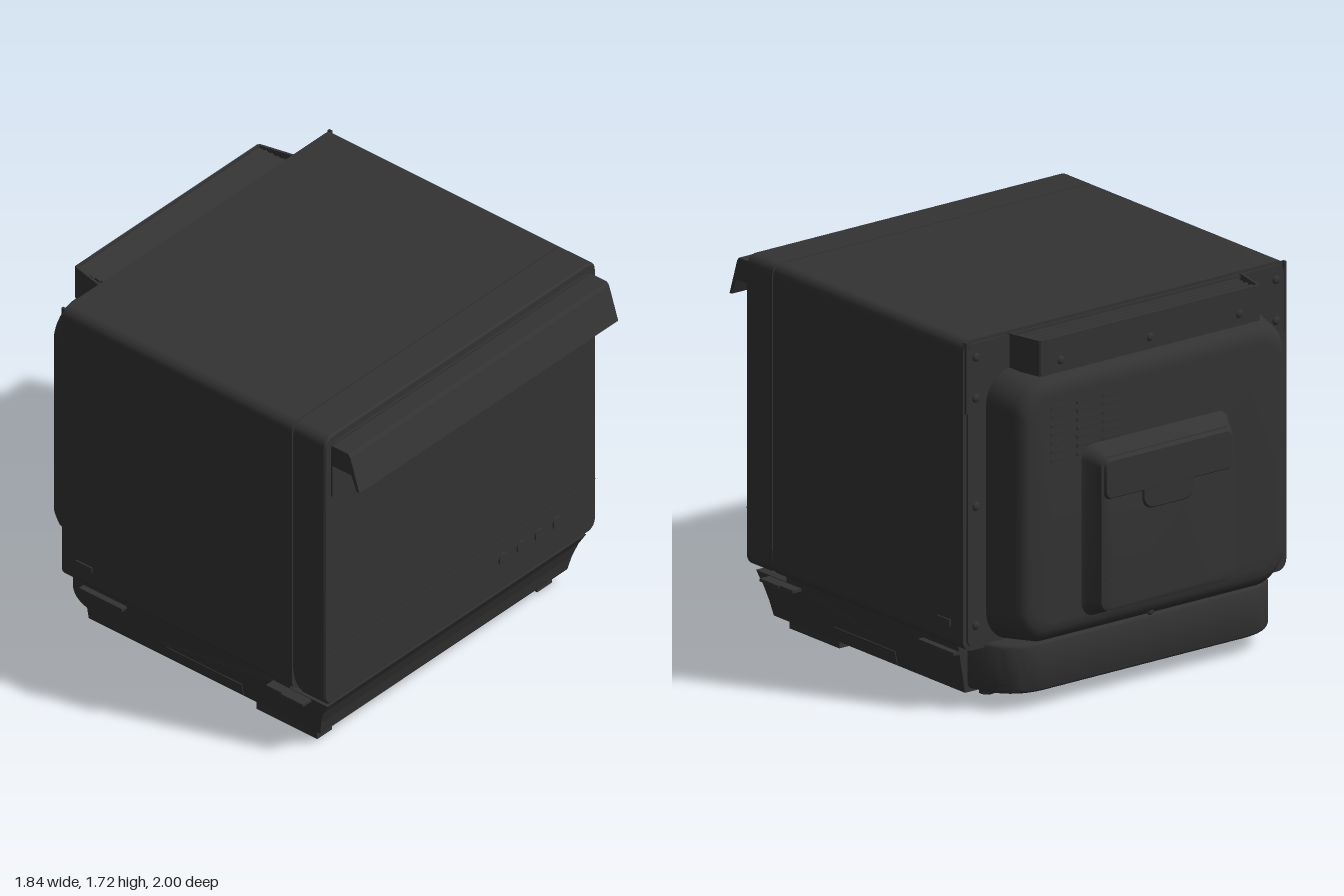
import * as THREE from 'three';
import { toCreasedNormals } from 'three/addons/utils/BufferGeometryUtils.js';

const dark = new THREE.MeshStandardMaterial({ color: 0x333333 });

// Points of a rounded rectangle, counter-clockwise seen from +z
function ring(hw, y0, y1, r, z) {
  const pts = [], n = 8;
  const corners = [[hw - r, y0 + r, -0.5], [hw - r, y1 - r, 0], [-hw + r, y1 - r, 0.5], [-hw + r, y0 + r, 1]];
  for (const [cx, cy, a] of corners)
    for (let i = 0; i <= n; i++) {
      const t = (a + 0.5 * i / n) * Math.PI;
      pts.push([cx + r * Math.cos(t), cy + r * Math.sin(t), z]);
    }
  return pts;
}

// Skin through rounded rectangles [z, halfWidth, yLow, yHigh, radius], from back to front
function loft(sections) {
  const rings = sections.map(([z, hw, y0, y1, r]) => ring(hw, y0, y1, r, z));
  const n = rings[0].length, pos = rings.flat(2), idx = [];
  for (let i = 0; i < rings.length - 1; i++)
    for (let j = 0; j < n; j++) {
      const a = i * n + j, b = i * n + (j + 1) % n;
      idx.push(a, b, b + n, a, b + n, a + n);
    }
  const last = (rings.length - 1) * n;
  for (let j = 1; j < n - 1; j++) {
    idx.push(0, j + 1, j);
    idx.push(last, last + j, last + j + 1);
  }
  const g = new THREE.BufferGeometry();
  g.setAttribute('position', new THREE.Float32BufferAttribute(pos, 3));
  g.setIndex(idx);
  return toCreasedNormals(g, 0.6);
}

// Side profile given as [z, y], extruded across x and centred
function across(profile, width) {
  const s = new THREE.Shape(profile.map(([z, y]) => new THREE.Vector2(-z, y)));
  const g = new THREE.ExtrudeGeometry(s, { depth: width, bevelEnabled: false });
  g.translate(0, 0, -width / 2);
  return g.rotateY(Math.PI / 2);
}

export function createModel() {
  const model = new THREE.Group();
  const add = (name, geo, x = 0, y = 0, z = 0) => {
    const m = new THREE.Mesh(geo, dark);
    m.name = name;
    m.position.set(x, y, z);
    model.add(m);
    return m;
  };
  const box = (name, w, h, d, x, y, z) => add(name, new THREE.BoxGeometry(w, h, d), x, y, z);

  // Cabinet and door, separated by a narrow gap
  add('cabinet', loft([[-0.685, 0.905, 0.285, 1.72, 0.05], [0.645, 0.905, 0.285, 1.72, 0.05]]));
  add('door', loft([
    [0.652, 0.905, 0.36, 1.72, 0.05], [0.66, 0.905, 0.325, 1.72, 0.05], [0.675, 0.905, 0.3, 1.72, 0.05],
    [0.70, 0.905, 0.285, 1.72, 0.05], [0.828, 0.905, 0.285, 1.72, 0.05], [0.836, 0.898, 0.292, 1.713, 0.045],
  ]));
  add('handlePlate', loft([[0.83, 0.865, 1.38, 1.68, 0.035], [0.844, 0.865, 1.38, 1.68, 0.035]]));
  add('handle', across([
    [0.84, 1.67], [0.935, 1.67], [0.947, 1.655], [1.0, 1.49], [0.985, 1.49], [0.953, 1.565], [0.84, 1.565],
  ], 1.73));
  box('panelSeam', 1.8, 0.005, 0.004, 0, 0.55, 0.836);

  // Control buttons
  for (let i = 0; i < 4; i++) {
    const g = new THREE.CylinderGeometry(0.03, 0.031, 0.01, 32).rotateX(Math.PI / 2);
    add('button', g, 0.285 + 0.12 * i, 0.452, 0.838);
  }

  // Base tray, narrowing towards the floor
  const base = across([
    [0.74, 0.06], [0.755, 0.13], [0.78, 0.2], [0.815, 0.26], [0.6, 0.26], [0.6, 0.29],
    [-0.6, 0.29], [-0.6, 0.06],
  ], 2);
  const p = base.attributes.position;
  for (let i = 0; i < p.count; i++)
    p.setX(i, p.getX(i) * (0.825 + 0.04 * Math.min(1, (p.getY(i) - 0.06) / 0.2)));
  base.computeVertexNormals();
  add('baseTray', base);
  for (const s of [-1, 1]) {
    box('frontFlange', 0.14, 0.014, 0.13, s * 0.85, 0.25, 0.655);
    box('frontFlangeTab', 0.1, 0.014, 0.1, s * 0.862, 0.25, 0.55);
    box('rearFlange', 0.08, 0.014, 0.25, s * 0.85, 0.25, -0.475);
    const grip = box('sideGrip', 0.012, 0.065, 0.43, s * 0.831, 0.098, 0.085);
    grip.rotation.z = -s * 0.2;
    box('frontFoot', 0.1, 0.06, 0.35, s * 0.735 - 0.015, 0.03, 0.525);
    add('rearFoot', new THREE.CylinderGeometry(0.057, 0.053, 0.065, 32), s * 0.527 - 0.013, 0.0325, -0.515);
  }

  // Drip pan below the back, with rounded plan corners
  const plan = new THREE.Shape();
  plan.moveTo(-0.8, 0.55);
  plan.lineTo(0.8, 0.55);
  plan.lineTo(0.78, 0.62);
  plan.quadraticCurveTo(0.74, 0.81, 0.56, 0.81);
  plan.lineTo(-0.56, 0.81);
  plan.quadraticCurveTo(-0.74, 0.81, -0.78, 0.62);
  plan.closePath();
  const pan = new THREE.ExtrudeGeometry(plan, {
    depth: 0.18, bevelThickness: 0.025, bevelSize: 0.025, bevelSegments: 4, curveSegments: 12,
  });
  add('rearPan', toCreasedNormals(pan.rotateX(-Math.PI / 2), 0.6), 0, 0.1, 0);

  // Back frame and bulging rear housing
  add('backFrame', loft([[-0.695, 0.885, 0.3, 1.705, 0.04], [-0.68, 0.885, 0.3, 1.705, 0.04]]));
  add('rearHousing', loft([
    [-0.9, 0.68, 0.41, 1.45, 0.1], [-0.896, 0.71, 0.375, 1.485, 0.12], [-0.88, 0.735, 0.345, 1.515, 0.14],
    [-0.85, 0.75, 0.32, 1.535, 0.15], [-0.69, 0.785, 0.3, 1.555, 0.15],
  ]));
  add('rearCover', loft([
    [-0.99, 0.35, 0.45, 1.13, 0.04], [-0.985, 0.37, 0.435, 1.15, 0.05],
    [-0.915, 0.395, 0.415, 1.18, 0.06], [-0.895, 0.42, 0.395, 1.195, 0.07],
  ]));
  add('coverUpperPlate', loft([[-1.0, 0.35, 0.96, 1.13, 0.03], [-0.985, 0.36, 0.95, 1.145, 0.03]]));
  add('coverGrip', loft([[-0.998, 0.14, 0.87, 1.04, 0.06], [-0.985, 0.15, 0.86, 1.05, 0.06]]));
  box('coverSeam', 0.7, 0.006, 0.004, 0, 0.58, -0.99);

  // Vent slots in the housing
  for (let c = 0; c < 3; c++)
    for (let r = 0; r < 7; r++)
      box('ventSlot', 0.09, 0.016, 0.008, 0.54 - 0.145 * c, 1.4 - 0.04 * r, -0.9);

  // Exhaust duct with louvres on top of the housing
  add('exhaustDuct', loft([[-0.86, 0.61, 1.545, 1.685, 0.02], [-0.68, 0.65, 1.545, 1.685, 0.02]]));
  for (let i = 0; i < 5; i++) {
    const louvre = box('louvre', 1.22, 0.012, 0.032, 0, 1.69, -0.84 + 0.035 * i);
    louvre.rotation.x = 0.35;
  }
  box('exhaustRim', 1.22, 0.165, 0.012, 0, 1.6275, -0.858);
  for (const s of [-1, 1]) {
    const wall = box('exhaustSide', 0.012, 0.165, 0.18, s * 0.63, 1.6275, -0.77);
    wall.rotation.y = s * 0.22;
    box('hingeCover', 0.012, 0.33, 0.018, s * 0.89, 1.55, -0.688);
    box('rearSideTab', 0.02, 0.03, 0.09, s * 0.902, 0.4, -0.555);
  }

  // Screws around the back
  const screws = [[0, 1.6, -0.862], [0.5, 1.6, -0.862], [-0.5, 1.6, -0.862], [0, 0.335, -0.865]];
  for (const s of [-1, 1])
    for (const y of [0.4, 0.95, 1.45, 1.64]) screws.push([s * 0.84, y, -0.695]);
  for (const [x, y, z] of screws) {
    const head = add('screw', new THREE.SphereGeometry(0.02, 16, 10), x, y, z);
    head.scale.z = 0.5;
  }

  // Power cord stub under the back corner
  const cord = new THREE.CatmullRomCurve3([
    new THREE.Vector3(0.67, 0.06, -0.53), new THREE.Vector3(0.69, 0.035, -0.58),
    new THREE.Vector3(0.72, 0.06, -0.66), new THREE.Vector3(0.74, 0.13, -0.77),
  ]);
  add('powerCord', new THREE.TubeGeometry(cord, 24, 0.01, 8));
  add('cordClamp', new THREE.CylinderGeometry(0.035, 0.035, 0.04, 20), 0.68, 0.045, -0.57);

  return model;
}
